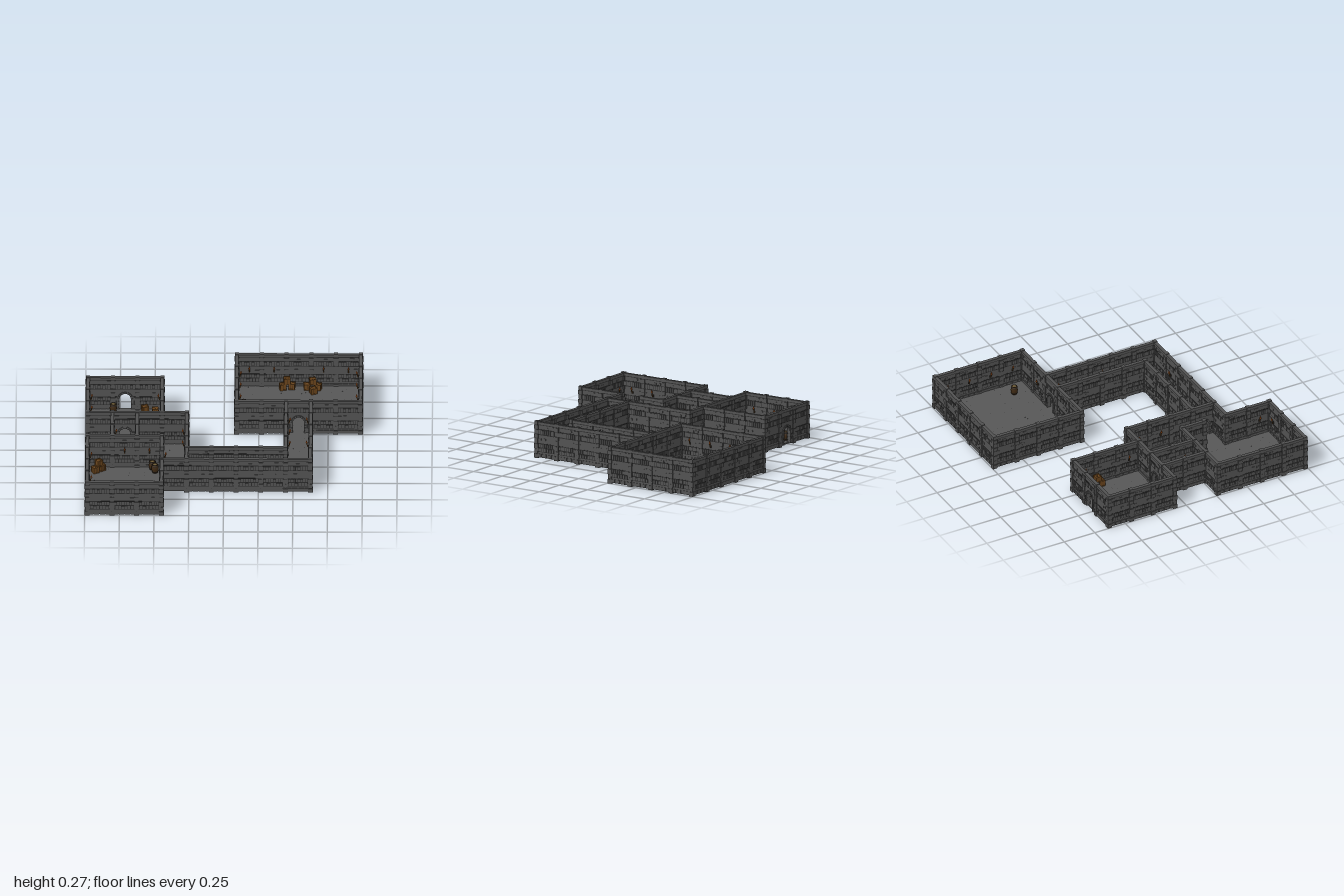
import * as THREE from 'three';
import { mergeGeometries } from 'three/addons/utils/BufferGeometryUtils.js';

const mat = (name, color, side = THREE.FrontSide) => {
  const m = new THREE.MeshStandardMaterial({ color, side });
  m.name = name;
  return m;
};
const CELL = 0.1786, HEIGHT = 0.272, FLOOR = 0.014;
const at = i => -0.982 + CELL * i;

let seed = 7;
const rnd = () => (seed = (seed * 16807) % 2147483647) / 2147483647;

const box = (w, h, d, x = 0, y = 0, z = 0) =>
  new THREE.BoxGeometry(w, h, d).translate(x, y, z).toNonIndexed();
const merge = list => mergeGeometries(list.map(g => (g.index ? g.toNonIndexed() : g)));

// One wall panel, one cell long, centred on x = 0
function panel(door) {
  const stone = [], mortar = [], half = CELL / 2;
  const inDoor = (x, y) => door && Math.abs(x) < 0.058 && y < 0.165;
  const s = new THREE.Shape();
  s.moveTo(-half, 0.006);
  if (door) {
    s.lineTo(-0.04, 0.006);
    s.lineTo(-0.04, 0.095);
    s.absarc(0, 0.095, 0.04, Math.PI, 0, true);
    s.lineTo(0.04, 0.006);
  }
  s.lineTo(half, 0.006);
  s.lineTo(half, HEIGHT - 0.004);
  s.lineTo(-half, HEIGHT - 0.004);
  stone.push(new THREE.ExtrudeGeometry(s, { depth: 0.018, bevelEnabled: false, curveSegments: 5 }).translate(0, 0, -0.009));
  // top rail with a shadow gap
  stone.push(box(CELL, 0.018, 0.025, 0, 0.259));
  mortar.push(box(CELL, 0.006, 0.0205, 0, 0.247));
  // dark bands with bricks set into them
  for (const [y, h] of [[0.194, 0.046], [0.079, 0.066]])
    for (const k of [-1, 1]) {
      const w = door && y < 0.15 ? 0.031 : half;
      mortar.push(box(w, h, 0.0205, k * (half - w / 2), y));
    }
  for (const [y, h, n] of [[0.194, 0.032, 10], [0.095, 0.025, 10], [0.063, 0.025, 8]])
    for (let i = 0; i < n; i++) {
      const p = CELL / n, x = -half + p * (i + 0.5);
      if (inDoor(x, y)) continue;
      stone.push(box(p * 0.8, h * (0.8 + rnd() * 0.25), 0.024 + rnd() * 0.005, x, y));
    }
  // base course and loose proud stones
  for (let i = 0; i < 4; i++) {
    const x = -half + CELL * (i + 0.5) / 4;
    if (!inDoor(x, 0.02) || Math.abs(x) > 0.06)
      stone.push(box(CELL / 4 - 0.004, 0.026, 0.026, x, 0.02));
  }
  for (const y of [0.14, 0.23])
    for (let i = 0; i < 2; i++) {
      const x = (rnd() - 0.5) * 0.13;
      if (!inDoor(x, y)) stone.push(box(0.026, 0.014, 0.023, x, y + (rnd() - 0.5) * 0.012));
    }
  // door jambs and arch stones
  if (door) {
    for (const k of [-1, 1])
      for (let i = 0; i < 4; i++) stone.push(box(0.013, 0.02, 0.032, k * 0.0465, 0.018 + i * 0.0235));
    for (let i = 0; i < 7; i++) {
      const a = Math.PI * (i + 0.5) / 7;
      stone.push(new THREE.BoxGeometry(0.014, 0.018, 0.032).rotateZ(a)
        .translate(Math.cos(a) * 0.047, 0.097 + Math.sin(a) * 0.047, 0));
    }
  }
  return { stone: merge(stone), mortar: merge(mortar) };
}

// Stacked stone pillar
function pillar() {
  const stone = [], mortar = [box(0.025, HEIGHT - 0.01, 0.025, 0, HEIGHT / 2)];
  const ys = [0, 0.035, 0.07, 0.11, 0.15, 0.18, 0.215, 0.247, 0.277];
  for (let i = 0; i < ys.length - 1; i++) {
    const h = ys[i + 1] - ys[i] - 0.004, w = i % 2 ? 0.029 : 0.035;
    stone.push(box(w, h, w, 0, ys[i] + h / 2));
  }
  return { stone: merge(stone), mortar: merge(mortar) };
}

// Crate with planks and a frame
function crate() {
  const s = 0.046, wood = [box(s - 0.006, s - 0.006, s - 0.006, 0, s / 2)], frame = [];
  for (const a of [-1, 1])
    for (const b of [-1, 1]) {
      const p = a * (s / 2 - 0.003), q = b * (s / 2 - 0.003);
      wood.push(box(s, 0.006, 0.006, 0, s / 2 + p, q), box(0.006, s, 0.006, p, s / 2, q), box(0.006, 0.006, s, p, s / 2 + q, 0));
    }
  for (let i = -1; i <= 1; i++)
    frame.push(box(0.0015, 0.0015, s - 0.012, i * 0.009, s - 0.003), box(0.0015, s - 0.012, s - 0.005, i * 0.009, s / 2));
  return { wood: merge(wood), darkWood: merge(frame) };
}

// Barrel with hoops and a lid
function barrel() {
  const prof = [[0, 0], [0.02, 0], [0.0245, 0.018], [0.026, 0.032], [0.0245, 0.046], [0.02, 0.064], [0.016, 0.064], [0.016, 0.06]];
  const body = new THREE.LatheGeometry(prof.map(p => new THREE.Vector2(...p)), 12);
  const hoops = [[0.012, 0.0238], [0.052, 0.0238], [0.062, 0.0215]].map(([y, r]) =>
    new THREE.CylinderGeometry(r, r, 0.005, 12, 1, true).translate(0, y, 0));
  return { darkWood: body, iron: merge(hoops), lid: new THREE.CylinderGeometry(0.0165, 0.0165, 0.003, 12).translate(0, 0.061, 0) };
}

// Wall torch, wall behind it at z = 0
function torch() {
  return {
    iron: merge([box(0.012, 0.016, 0.004, 0, 0.135, 0.004), box(0.004, 0.004, 0.012, 0, 0.138, 0.01)]),
    wood: new THREE.CylinderGeometry(0.0045, 0.003, 0.034, 6).rotateX(0.25).translate(0, 0.145, 0.014),
    flame: new THREE.ConeGeometry(0.007, 0.022, 6).translate(0, 0.171, 0.018),
  };
}

export function createModel() {
  const root = new THREE.Group();
  root.name = 'dungeon';
  const D = THREE.DoubleSide;
  const mats = {
    stone: mat('stone', 0x525252), mortar: mat('mortar', 0x2b2b2b), floor: mat('floorStone', 0x575757),
    wood: mat('wood', 0x6b451c), darkWood: mat('darkWood', 0x3f2a14, D), iron: mat('iron', 0x2a2724, D),
    lid: mat('barrelLid', 0x6e5c36), flame: mat('flame', 0xc4601c),
  };
  const bins = {};
  const put = (name, parts, x, y, z, ry = 0, rx = 0) => {
    const m = new THREE.Matrix4().makeRotationFromEuler(new THREE.Euler(rx, ry, 0, 'YXZ')).setPosition(x, y, z);
    for (const k in parts) {
      const list = ((bins[name] ??= {})[k] ??= []);
      list.push(parts[k].clone().applyMatrix4(m));
    }
  };

  // Floors, with chips on the top and underside
  const rooms = [[0, 2, 3, 5], [1, 5, 4, 7], [0, 7, 3, 11], [3, 7, 4, 9], [4, 8, 9, 9], [8, 4, 9, 8], [6, 0, 11, 4]];
  for (const [x0, z0, x1, z1] of rooms) {
    put('floor', { floor: box((x1 - x0) * CELL, FLOOR - 0.005, (z1 - z0) * CELL) },
      (at(x0) + at(x1)) / 2, (FLOOR + 0.005) / 2, (at(z0) + at(z1)) / 2);
    for (let i = x0; i < x1; i++)
      for (let j = z0; j < z1; j++) {
        const spot = () => [at(i) + CELL * (0.15 + 0.7 * rnd()), at(j) + CELL * (0.15 + 0.7 * rnd())];
        for (let k = 0; k < 3; k++) {
          const [x, z] = spot();
          put('floorChips', { mortar: box(0.004 + rnd() * 0.008, 0.001, 0.003) }, x, FLOOR, z, rnd() * 3);
        }
        const [x, z] = spot();
        put('floorUnderside', { floor: box(0.03, 0.005, 0.018) }, x, 0.0026, z, rnd() < 0.5 ? 0 : Math.PI / 2);
      }
  }

  // Walls: [line, from, to] along x, then along z
  const alongX = [[2, 0, 3], [5, 0, 4], [7, 0, 3], [11, 0, 3], [9, 3, 9], [8, 4, 8], [4, 6, 11], [0, 6, 11]];
  const alongZ = [[0, 2, 5], [3, 2, 5], [1, 5, 7], [2, 5, 7], [4, 5, 9], [0, 7, 11], [3, 7, 8], [3, 9, 11],
    [8, 4, 8], [9, 4, 9], [6, 0, 4], [11, 0, 4]];
  const doors = new Set(['x2,1', 'x5,1', 'x4,8', 'z4,8', 'z2,5']);
  const plain = [panel(false), panel(false), panel(false)], doorway = panel(true), post = pillar();
  const posts = new Set();
  const build = (list, axis) => list.forEach(([line, a, b]) => {
    for (let i = a; i <= b; i++) {
      posts.add(axis === 'x' ? `${i},${line}` : `${line},${i}`);
      if (i === b) break;
      const isDoor = doors.has(`${axis}${line},${i}`);
      const p = isDoor ? doorway : plain[(i + line) % 3], name = isDoor ? 'doorways' : 'walls';
      if (axis === 'x') put(name, p, at(i + 0.5), 0, at(line));
      else put(name, p, at(line), 0, at(i + 0.5), Math.PI / 2);
    }
  });
  build(alongX, 'x');
  build(alongZ, 'z');
  for (const key of posts) {
    const [i, j] = key.split(',').map(Number);
    put('pillars', post, at(i), 0, at(j));
  }

  // Torches: cells by the wall they hang on
  const torches = {
    n: [[6, 0], [7, 0], [9, 0], [10, 0], [5, 8], [7, 8], [1, 7], [2, 7]],
    s: [[9, 3], [4, 8], [7, 8], [0, 10], [2, 10]],
    w: [[0, 2], [0, 3], [0, 4], [6, 0], [6, 1], [6, 2], [6, 3], [8, 4], [8, 5], [8, 6], [2, 6], [1, 5], [3, 7], [0, 7], [0, 9], [0, 10]],
    e: [[2, 2], [2, 4], [10, 0], [10, 1], [10, 2], [10, 3], [8, 4], [8, 6], [3, 5], [3, 6], [1, 6], [2, 10]],
  };
  const facing = { n: [0, -1, 0], s: [0, 1, Math.PI], w: [-1, 0, Math.PI / 2], e: [1, 0, -Math.PI / 2] };
  const lamp = torch(), reach = CELL / 2 - 0.011;
  for (const k in torches)
    for (const [i, j] of torches[k]) {
      const [dx, dz, ry] = facing[k];
      put('torches', lamp, at(i + 0.5) + dx * reach, 0, at(j + 0.5) + dz * reach, ry);
    }

  // Barrels, one lying on its side
  const keg = barrel();
  for (const [x, z] of [[-0.8, -0.57], [-0.94, -0.27], [-0.77, 0.12], [-0.58, -0.04], [-0.52, -0.04], [-0.52, 0.025],
    [-0.58, 0.085], [-0.515, 0.31], [-0.495, 0.36], [0.14, -0.63], [0.195, -0.59], [0.85, -0.405]])
    put('barrels', keg, x, FLOOR, z);
  put('barrels', keg, -0.585, FLOOR + 0.086, 0.005, 0, Math.PI / 2);

  // Crates: x, z, turn, level
  const chest = crate();
  for (const [x, z, r, up = 0] of [[-0.57, -0.575, 0.3], [-0.495, -0.49, 0], [-0.495, -0.425, 0.05], [-0.497, -0.455, 0.1, 1],
    [-0.905, -0.14, 0.2], [-0.82, -0.145, -0.1], [-0.585, 0.215, 0.05], [-0.925, 0.36, 0.5], [-0.88, 0.325, 0.6],
    [-0.9, 0.345, 0.55, 1], [-0.855, 0.725, 0], [-0.91, 0.815, 0.2], [-0.855, 0.86, -0.15], [0.48, 0.405, 0],
    [0.42, -0.92, 0.2], [0.485, -0.93, -0.1], [0.45, -0.925, 0.1, 1], [0.595, -0.925, 0.05], [0.675, -0.92, -0.3],
    [0.635, -0.915, 0.2, 1], [0.64, -0.86, 0.4]])
    put('crates', chest, x, FLOOR + up * 0.046, z, r);

  for (const name in bins) {
    const group = new THREE.Group();
    group.name = name;
    for (const k in bins[name]) {
      const mesh = new THREE.Mesh(merge(bins[name][k]), mats[k]);
      mesh.name = `${name}-${k}`;
      group.add(mesh);
    }
    root.add(group);
  }
  return root;
}
